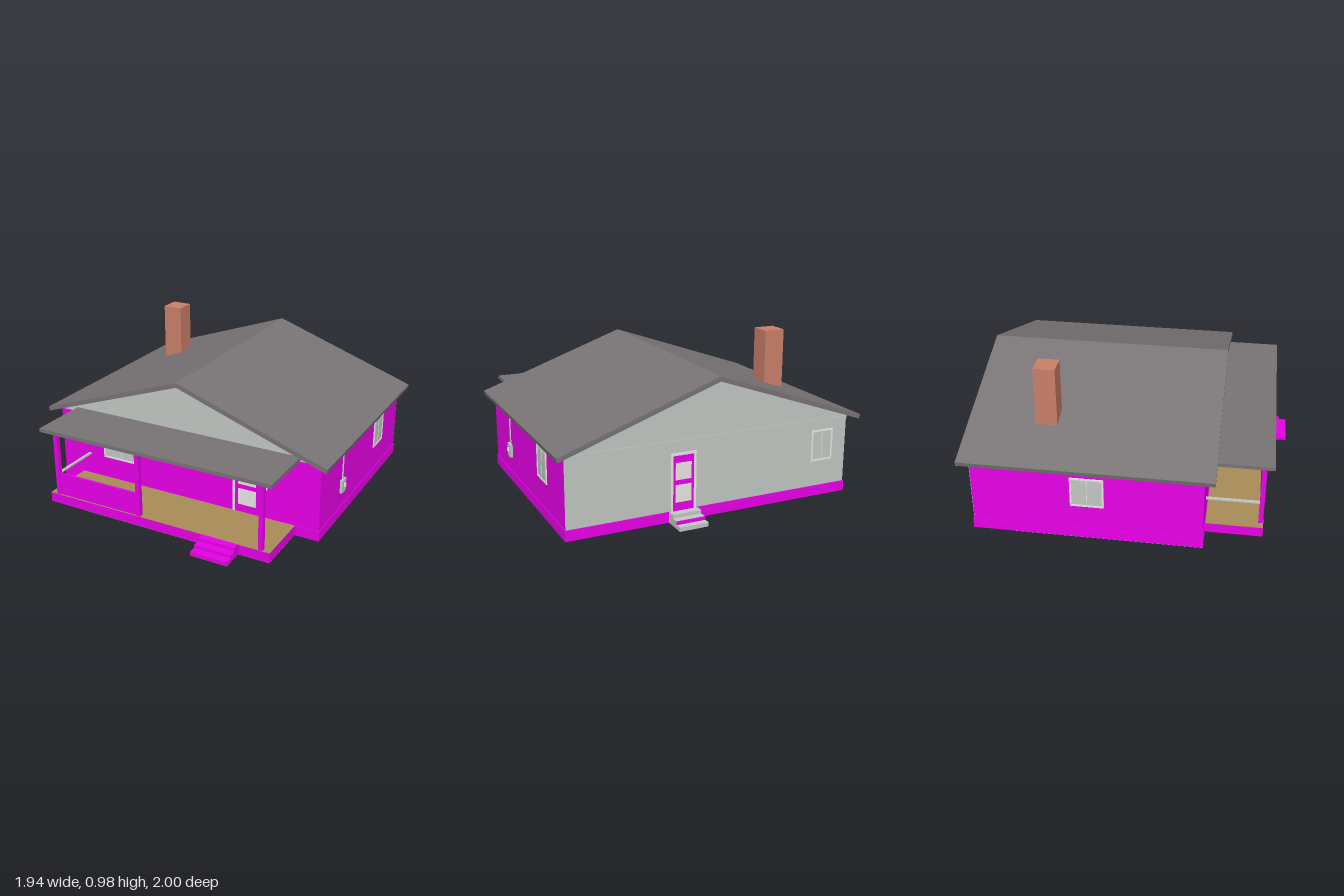
import * as THREE from 'three';

const mat = (name, color) => {
  const m = new THREE.MeshStandardMaterial({ color });
  m.name = name;
  return m;
};

export function createModel() {
  const house = new THREE.Group();
  house.name = 'house';
  const wall = mat('magenta siding', 0xff00ff);
  const roofing = mat('roof grey', 0x787375);
  const pale = mat('pale grey', 0xc2c7c3);
  const trim = mat('off white trim', 0xf0efea);
  const brick = mat('brick', 0xc97e69);
  const planks = mat('tan planks', 0xa88c58);

  // Box given by its limits on each axis
  const box = (name, m, x0, x1, y0, y1, z0, z1, parent = house) => {
    const mesh = new THREE.Mesh(new THREE.BoxGeometry(x1 - x0, y1 - y0, z1 - z0), m);
    mesh.position.set((x0 + x1) / 2, (y0 + y1) / 2, (z0 + z1) / 2);
    mesh.name = name;
    parent.add(mesh);
  };
  // Prism running along z
  const prism = (name, m, points, z0, z1) => {
    const shape = new THREE.Shape(points.map(([x, y]) => new THREE.Vector2(x, y)));
    const mesh = new THREE.Mesh(
      new THREE.ExtrudeGeometry(shape, { depth: z1 - z0, bevelEnabled: false }), m);
    mesh.position.z = z0;
    mesh.name = name;
    house.add(mesh);
  };

  // Foundation, walls, rear siding and underside
  box('foundation', wall, -0.913, 0.913, 0.001, 0.065, -0.863, 0.518);
  box('walls', wall, -0.908, 0.908, 0.06, 0.485, -0.855, 0.513);
  box('rearSiding', pale, -0.908, 0.908, 0.065, 0.485, -0.857, -0.855);
  box('houseUnderside', pale, -0.913, 0.4, 0, 0.001, -0.62, 0.518);
  box('porchUnderside', pale, -0.5, 0.76, 0, 0.001, 0.518, 0.86);

  // Gable roof with a closed attic
  prism('gables', pale, [[-0.945, 0.484], [0.945, 0.484], [0, 0.812]], -0.859, 0.515);
  prism('roof', roofing, [[-0.968, 0.502], [-0.962, 0.475], [0, 0.81],
    [0.962, 0.475], [0.968, 0.502], [0, 0.84]], -0.915, 0.575);
  box('rearFrieze', pale, -0.908, 0.908, 0.472, 0.488, -0.863, -0.857);
  box('chimney', brick, -0.663, -0.533, 0.58, 0.977, -0.508, -0.378);

  // Porch deck, roof, posts, panel and side rail
  box('porchDeck', wall, -0.76, 0.76, 0.001, 0.063, 0.515, 0.86);
  box('porchFloor', planks, -0.76, 0.76, 0.063, 0.065, 0.518, 0.86);
  box('porchRoof', roofing, -0.78, 0.78, 0.49, 0.513, 0.513, 0.9);
  for (const x of [-0.7, -0.11, 0.7]) {
    box('porchPost', wall, x - 0.014, x + 0.014, 0.065, 0.49, 0.83, 0.858);
  }
  box('porchPanel', wall, -0.69, -0.12, 0.065, 0.21, 0.837, 0.853);
  box('porchRail', pale, -0.709, -0.691, 0.2, 0.21, 0.513, 0.835);

  // Steps
  for (const [h, z] of [[0.065, 0.905], [0.045, 0.953], [0.025, 1]]) {
    box('frontStep', wall, 0.33, 0.565, 0.001, h, 0.86, z);
  }
  box('frontStepUnderside', planks, 0.33, 0.565, 0, 0.001, 0.86, 1);
  for (const [h, z] of [[0.065, -0.91], [0.045, -0.955], [0.025, -1]]) {
    box('rearStep', pale, 0.11, 0.29, 0, h, z, -0.863);
  }
  box('rearStepRiser', wall, 0.11, 0.29, 0.025, 0.045, -0.962, -0.955);

  // Openings are modelled facing +z and centred on x, then placed on a wall
  const place = (name, x, z, turn) => {
    const g = new THREE.Group();
    g.name = name;
    g.position.set(x, 0, z);
    g.rotation.y = turn;
    house.add(g);
    return g;
  };
  const frame = (g, w, y0, y1, t, sill) => {
    for (const s of [-1, 1]) {
      const c = s * (w - t) / 2;
      box('frameSide', trim, c - t / 2, c + t / 2, y0, y1, 0, 0.007, g);
    }
    box('frameHead', trim, -w / 2 + t, w / 2 - t, y1 - t, y1, 0, 0.007, g);
    if (sill) box('frameSill', trim, -w / 2 + t, w / 2 - t, y0, y0 + t, 0, 0.007, g);
  };
  const addWindow = (name, x, z, turn, w, y0, y1) => {
    const g = place(name, x, z, turn);
    frame(g, w, y0, y1, 0.011, true);
    box('glass', pale, -w / 2 + 0.011, w / 2 - 0.011, y0 + 0.011, y1 - 0.011, 0, 0.003, g);
    box('mullion', trim, -0.002, 0.002, y0 + 0.011, y1 - 0.011, 0, 0.005, g);
  };
  const addDoor = (name, x, z, turn, w) => {
    const g = place(name, x, z, turn);
    frame(g, w, 0.065, 0.41, 0.014, false);
    box('doorLeaf', wall, -w / 2 + 0.014, w / 2 - 0.014, 0.065, 0.396, 0, 0.003, g);
    const p = w * 0.31;
    box('upperPane', trim, -p, p, 0.25, 0.352, 0, 0.006, g);
    box('lowerPane', trim, -p, p, 0.115, 0.22, 0, 0.006, g);
  };
  addWindow('frontWindow', -0.452, 0.513, 0, 0.27, 0.205, 0.42);
  addWindow('leftWindow', 0.908, -0.477, Math.PI / 2, 0.168, 0.225, 0.42);
  addWindow('rightWindow', -0.908, -0.165, -Math.PI / 2, 0.2, 0.225, 0.42);
  addWindow('rearWindow', -0.735, -0.857, Math.PI, 0.15, 0.225, 0.42);
  addDoor('frontDoor', 0.445, 0.513, 0, 0.19);
  addDoor('rearDoor', 0.2, -0.857, Math.PI, 0.16);
  box('doorbell', trim, 0.563, 0.577, 0.252, 0.27, 0.513, 0.52);

  // Electric meter and conduit
  box('meterBox', pale, 0.908, 0.925, 0.165, 0.25, 0.135, 0.195);
  box('meterDial', trim, 0.925, 0.935, 0.2, 0.225, 0.158, 0.172);
  box('conduit', pale, 0.908, 0.916, 0.25, 0.48, 0.163, 0.168);

  return house;
}
